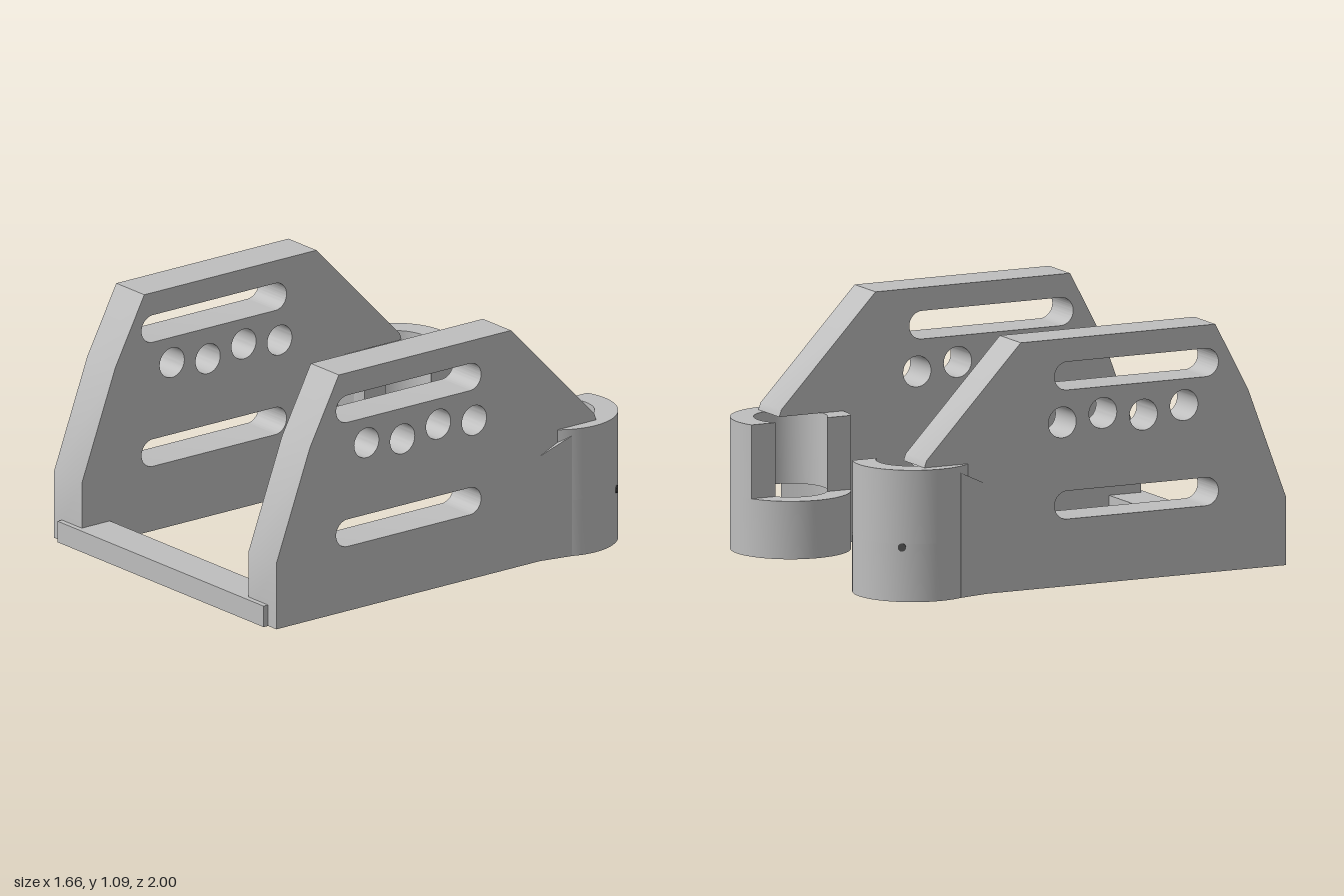
import * as THREE from 'three';
import { toCreasedNormals } from 'three/addons/utils/BufferGeometryUtils.js';
import { ConvexGeometry } from 'three/addons/geometries/ConvexGeometry.js';

const CX = 0.57, CZ = -0.74, R = 0.262, BORE = 0.16;   // clamp ring centre and radii
const INNER = 0.58, OUTER = 0.775;                     // side plate faces
const STEP = 0.255, TOP = 0.58;                        // clamp ring heights

const smooth = (g) => toCreasedNormals(g, 0.6);

// Plan outline in x/z, raised from y0 to y1; side mirrors it
function raise(points, holes, y0, y1, side) {
  const flip = (list) => list.map((p) => new THREE.Vector2(p.x * side, -p.y));
  const shape = new THREE.Shape(flip(points));
  holes.forEach((h) => shape.holes.push(new THREE.Path(flip(h))));
  const g = new THREE.ExtrudeGeometry(shape, { depth: y1 - y0, bevelEnabled: false });
  g.rotateX(-Math.PI / 2).translate(0, y0, 0);
  return smooth(g);
}

// Points along an arc round the clamp ring centre
function arc(r, from, to, n = 64) {
  return Array.from({ length: n + 1 }, (_, i) => {
    const a = from + ((to - from) * i) / n;
    return new THREE.Vector2(CX + r * Math.cos(a), CZ + r * Math.sin(a));
  });
}

// Side plate with two slots and a staggered row of round holes
function sidePlateGeometry(side) {
  const shape = new THREE.Shape([
    [0.975, 0], [0.975, 0.3], [0.79, 0.79], [0.63, 1.09], [-0.32, 1.09],
    [-0.78, 0.61], [-0.79, TOP], [-0.45, TOP], [-0.45, 0],
  ].map(([z, y]) => new THREE.Vector2(z, y)));
  for (const y of [0.925, 0.357]) {
    const r = 0.062, slot = new THREE.Path();
    slot.absarc(0.645 - r, y, r, -Math.PI / 2, Math.PI / 2, false);
    slot.absarc(-0.155 + r, y, r, Math.PI / 2, Math.PI * 1.5, false);
    slot.closePath();
    shape.holes.push(slot);
  }
  for (let i = 0; i < 4; i++) {
    const hole = new THREE.Path();
    hole.absarc(0.477 - i * 0.198, i % 2 ? 0.722 : 0.747, 0.068, 0, Math.PI * 2, false);
    shape.holes.push(hole);
  }
  const depth = OUTER - INNER;
  const g = new THREE.ExtrudeGeometry(shape, { depth, bevelEnabled: false, curveSegments: 24 });
  g.rotateY(-Math.PI / 2).translate(side > 0 ? OUTER : -INNER, 0, 0);
  return smooth(g);
}

// Three-cornered web with a sloping top; corners are [x, z, height]
function webGeometry(corners, side) {
  return new ConvexGeometry(corners.flatMap(([x, z, h]) => [
    new THREE.Vector3(x * side, 0, z), new THREE.Vector3(x * side, h, z),
  ]));
}

export function createModel() {
  const grey = new THREE.MeshStandardMaterial({ color: 0xbebebe });
  grey.name = 'grey';
  const dark = new THREE.MeshStandardMaterial({ color: 0x4a4a4a });
  dark.name = 'darkGrey';

  const model = new THREE.Group();
  model.name = 'bracket';
  const add = (parent, name, geometry, material = grey) => {
    const mesh = new THREE.Mesh(geometry, material);
    mesh.name = name;
    parent.add(mesh);
    return mesh;
  };

  // Cross bar joining the plates at the front
  add(model, 'crossBar', new THREE.BoxGeometry(1.436, 0.096, 0.18).translate(0, 0.048, 0.91));

  for (const side of [1, -1]) {
    const half = new THREE.Group();
    half.name = side > 0 ? 'leftSide' : 'rightSide';
    model.add(half);
    add(half, 'sidePlate', sidePlateGeometry(side));

    // Plate foot running into the ring wall
    const foot = [[INNER, -0.45], [OUTER, -0.45], [OUTER, -0.68], [0.68, -0.57], [INNER, -0.54]]
      .map(([x, z]) => new THREE.Vector2(x, z));
    add(half, 'plateFoot', raise(foot, [], 0, TOP, side));

    // Full ring below, open ring cut by a flat plane above
    const full = (r) => arc(r, 0, Math.PI * 2, 72).slice(0, -1);
    add(half, 'clampRingBase', raise(full(R), [full(BORE)], 0, STEP, side));
    const a = Math.acos(-0.1 / R), b = Math.acos(-0.1 / BORE);
    add(half, 'clampRingWall', raise([...arc(R, -a, a), ...arc(BORE, b, -b)], [], STEP, TOP, side));

    // Webs easing the plate into the ring
    add(half, 'innerWeb', webGeometry(
      [[INNER, -0.44, 0.37], [0.52, -0.485, 0.45], [INNER, -0.5, 0.45]], side));
    add(half, 'outerWeb', webGeometry(
      [[OUTER, -0.48, 0.48], [0.808, -0.63, 0.55], [OUTER, -0.64, 0.55]], side));

    // Small pin hole in the ring wall
    const pin = add(half, 'pinHole', new THREE.CylinderGeometry(0.018, 0.018, 0.006, 16), dark);
    const t = -0.66;
    pin.rotation.set(Math.PI / 2, 0, side * (Math.PI / 2 + t), 'YXZ');
    pin.rotation.set(Math.PI / 2, side * (Math.PI / 2 - t), 0, 'YXZ');
    pin.position.set(side * (CX + R * Math.cos(t)), 0.24, CZ + R * Math.sin(t));
  }
  return model;
}
